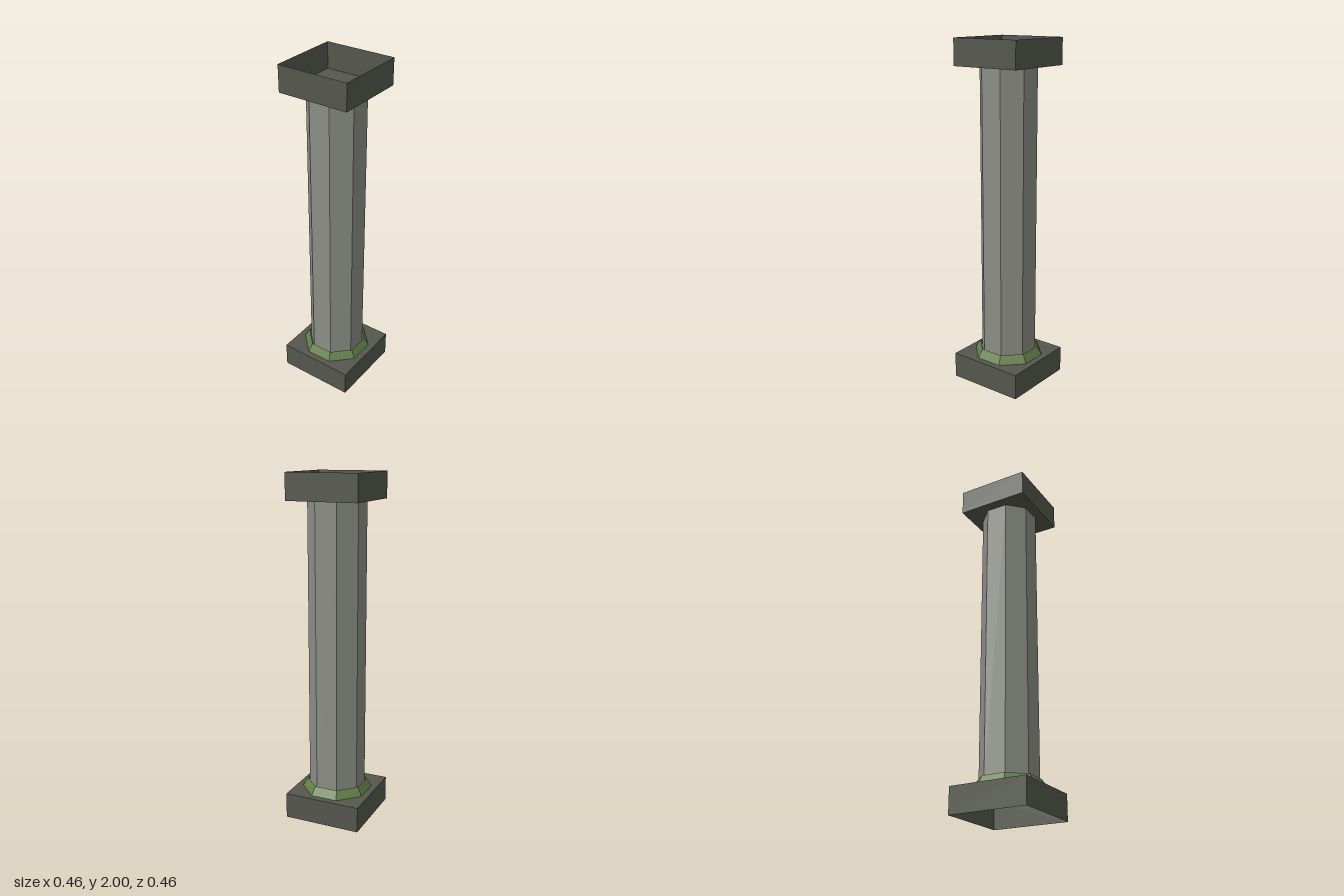
import * as THREE from 'three';

const mat = (name, color, extra = {}) => {
  const m = new THREE.MeshStandardMaterial({ color, ...extra });
  m.name = name;
  return m;
};

// Box with one face left open (face order: +x, -x, +y, -y, +z, -z)
function openBox(width, height, openFace) {
  const g = new THREE.BoxGeometry(width, height, width);
  const index = Array.from(g.index.array);
  index.splice(openFace * 6, 6);
  g.setIndex(index);
  g.clearGroups();
  return g;
}

// Open eight-sided tube with flat sides facing the axes; radii measured to the flats
function octagon(topFlat, bottomFlat, height) {
  const k = 1 / Math.cos(Math.PI / 8);
  const g = new THREE.CylinderGeometry(topFlat * k, bottomFlat * k, height, 8, 1, true);
  return g.rotateY(Math.PI / 8);
}

export function createModel() {
  const group = new THREE.Group();
  group.name = 'column';
  const sides = { side: THREE.DoubleSide, flatShading: true };
  const darkStone = mat('dark stone', 0x55574e, sides);
  const paleStone = mat('pale stone', 0x8c8e86, sides);
  const moss = mat('moss green', 0x647f49, sides);

  const add = (name, geometry, material, y) => {
    const mesh = new THREE.Mesh(geometry, material);
    mesh.name = name;
    mesh.position.y = y;
    group.add(mesh);
  };

  // Plinth is hollow underneath, capital is hollow on top
  add('plinth', openBox(0.455, 0.15, 3), darkStone, 0.075);
  add('capital', openBox(0.42, 0.15, 2), darkStone, 1.925);

  // Shaft and the flared mossy ring around its foot
  add('shaft', octagon(0.152, 0.152, 1.7), paleStone, 1.0);
  add('mossCollar', octagon(0.163, 0.19, 0.05), moss, 0.175);

  return group;
}
